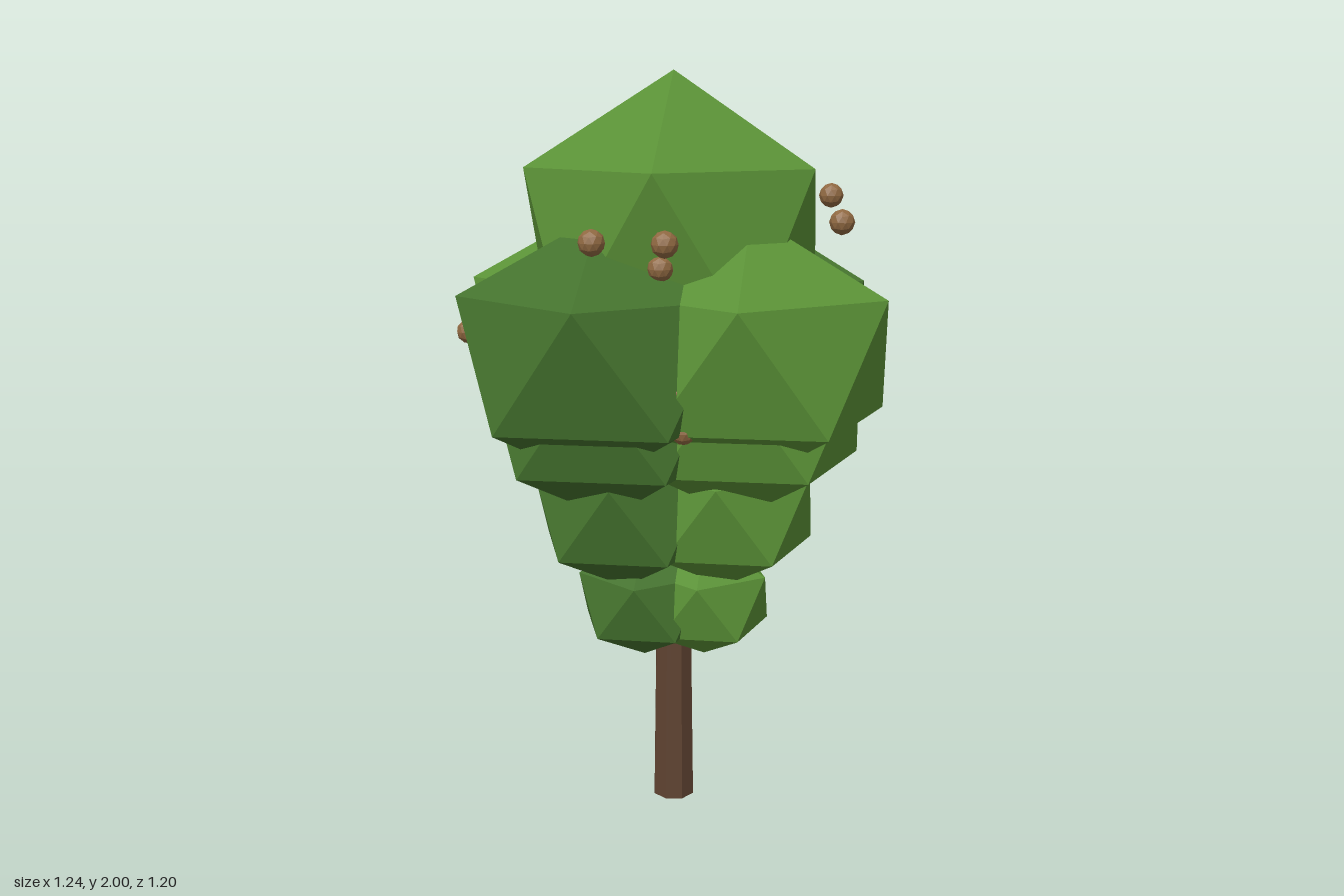
import * as THREE from 'three';

const material = (name, color) => {
  const m = new THREE.MeshStandardMaterial({ color, flatShading: true });
  m.name = name;
  return m;
};

// Icosahedron standing on a point, with an upper ring corner towards +x
function uprightIcosahedron(radius, detail = 0) {
  const golden = (1 + Math.sqrt(5)) / 2;
  return new THREE.IcosahedronGeometry(radius, detail).rotateZ(-Math.atan(1 / golden));
}

export function createModel() {
  const lightLeaf = material('light leaf green', 0x5a9136);
  const darkLeaf = material('dark leaf green', 0x44722d);
  const bark = material('bark brown', 0x5f4331);
  const fruitBrown = material('fruit brown', 0x8f6841);

  const tree = new THREE.Group();
  tree.name = 'tree';
  const add = (parent, name, geometry, mat, x, y, z) => {
    const mesh = new THREE.Mesh(geometry, mat);
    mesh.name = name;
    mesh.position.set(x, y, z);
    parent.add(mesh);
    return mesh;
  };

  // Tapered eight-sided trunk, running up into the leaves
  const trunk = new THREE.CylinderGeometry(0.041, 0.0595, 1.2, 8).rotateY(Math.PI / 8);
  add(tree, 'trunk', trunk, bark, 0, 0.6, 0);

  // Leaf tiers: [height of centre, ring radius, offset from trunk]
  const tiers = [
    [0.627, 0.176, 0.115],
    [0.898, 0.236, 0.185],
    [1.172, 0.31, 0.24],
    [1.311, 0.356, 0.263],
  ];
  const ringRatio = 2 / Math.sqrt(5); // ring radius to full radius
  tiers.forEach(([y, ring, offset], i) => {
    const tier = new THREE.Group();
    tier.name = `leafTier${i + 1}`;
    const clump = uprightIcosahedron(ring / ringRatio).scale(1, 0.86, 1);
    for (const s of [1, -1]) {
      add(tier, s > 0 ? 'leftClump' : 'rightClump', clump, darkLeaf, s * offset, y, 0);
      add(tier, s > 0 ? 'frontClump' : 'backClump', clump, lightLeaf, 0, y, s * offset);
    }
    tree.add(tier);
  });

  // Crown
  add(tree, 'crown', uprightIcosahedron(0.43), lightLeaf, 0, 1.57, 0);

  // Small round fruits, some almost buried in the leaves
  const fruits = new THREE.Group();
  fruits.name = 'fruits';
  const fruit = uprightIcosahedron(0.032, 1);
  [
    [0.16, 1.635, 0.42], [0.32, 1.685, 0.263], [0.465, 1.56, -0.167], [0.51, 1.44, -0.16],
    [-0.44, 1.61, 0.16], [-0.352, 1.61, 0.308], [-0.374, 1.335, -0.39], [-0.24, 1.36, -0.5],
    [-0.265, 1.54, 0.21], [-0.31, 1.255, 0.309], [-0.29, 1.165, 0.309],
  ].forEach((p, i) => add(fruits, `fruit${i + 1}`, fruit, fruitBrown, ...p));
  tree.add(fruits);

  return tree;
}
